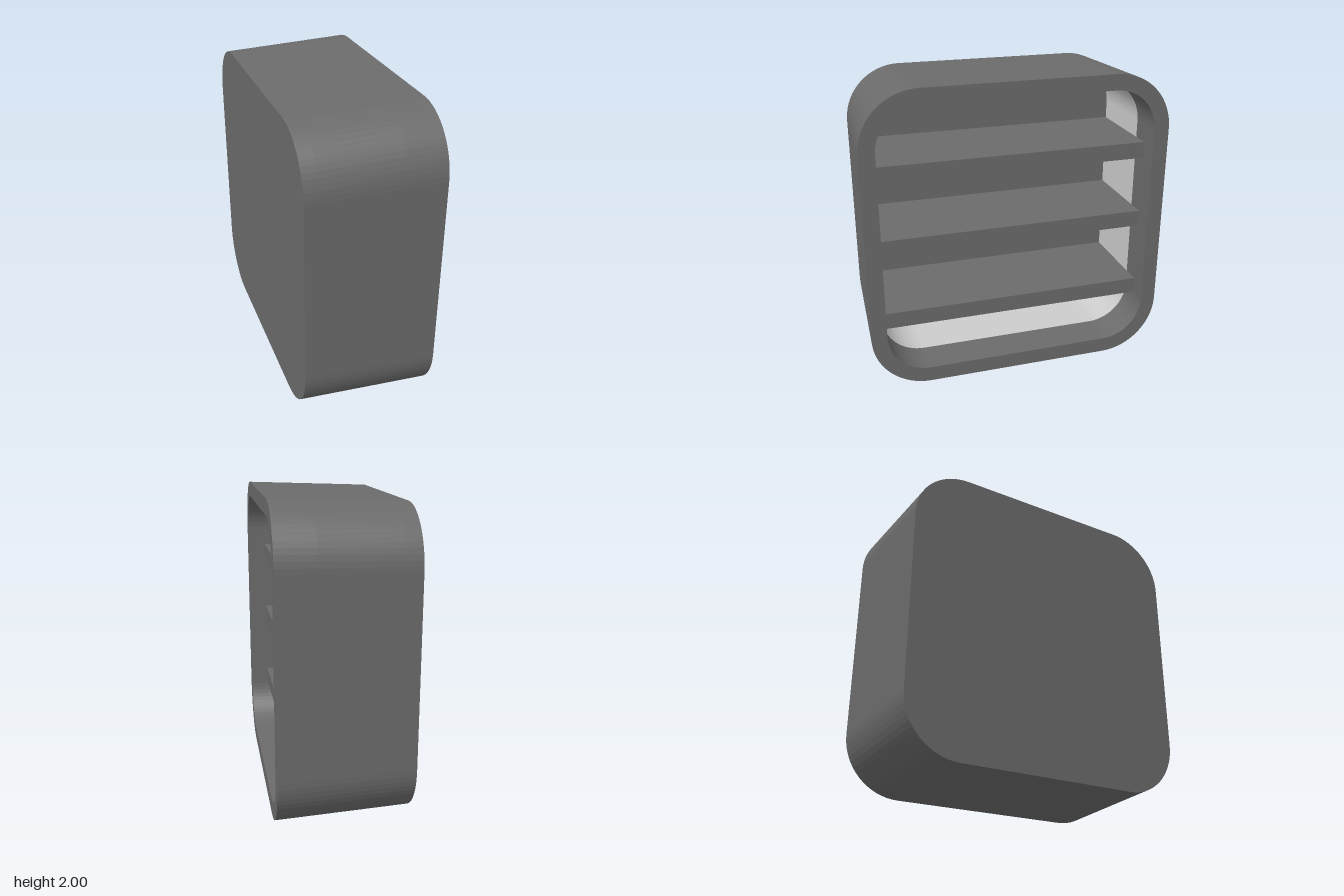
import * as THREE from 'three';

const FRONT = 0.425, BACK = -0.425; // open face and closed face along x
const CORE = 0.62;                  // centre of the corner arcs
const FLOOR = -0.33, LIP = 0.18;    // cavity floor and start of the front lip

// Rounded square whose corner arcs all share the same centres
function roundedSquare(Type, half) {
  const s = new Type(), r = half - CORE;
  for (let i = 0; i < 4; i++) {
    const a = i * Math.PI / 2;
    const cx = CORE * (i === 0 || i === 3 ? 1 : -1), cy = CORE * (i < 2 ? 1 : -1);
    s.absarc(cx, cy, r, a, a + Math.PI / 2, false);
  }
  return s;
}

// Prism along x from x0 to x1, optionally hollow; only the outer skin is drafted
function prism(half, hole, x0, x1) {
  const shape = roundedSquare(THREE.Shape, half);
  if (hole) shape.holes.push(roundedSquare(THREE.Path, hole));
  const g = new THREE.ExtrudeGeometry(shape, { depth: x1 - x0, bevelEnabled: false, curveSegments: 8 });
  g.rotateY(Math.PI / 2).translate(x0, 0, 0);
  const p = g.attributes.position;
  for (let i = 0; i < p.count; i++) {
    const x = p.getX(i), y = p.getY(i), z = p.getZ(i);
    const reach = Math.hypot(Math.max(Math.abs(y) - CORE, 0), Math.max(Math.abs(z) - CORE, 0));
    if (reach > 0.36) {
      const s = 1 - 0.03 * (FRONT - x) / (FRONT - BACK);
      p.setXYZ(i, x, y * s, z * s);
    }
  }
  g.computeVertexNormals();
  return g.translate(0, 1, 0);
}

export function createModel() {
  const group = new THREE.Group();
  const dark = new THREE.MeshStandardMaterial({ color: 0x6b6b6b, flatShading: true });
  const light = new THREE.MeshStandardMaterial({ color: 0xcccccc, flatShading: true });
  const add = (name, geometry, material) => {
    const m = new THREE.Mesh(geometry, material);
    m.name = name;
    group.add(m);
    return m;
  };

  // Drafted housing: front lip, side walls and closed back
  add('frontLip', prism(1, 0.897, LIP, FRONT), dark);
  add('housingWall', prism(1, 0.94, FLOOR, LIP), dark);
  add('backPanel', prism(1, null, BACK, FLOOR), dark);

  // Pale lining of the cavity behind the lip
  add('cavityLining', prism(0.94, 0.897, FLOOR, LIP), light);

  // Three horizontal slats, set back from the opening
  const slatFront = 0.3;
  for (const y of [0.427, 0.95, 1.445]) {
    add('slat', new THREE.BoxGeometry(slatFront - FLOOR, 0.11, 1.794), dark)
      .position.set((slatFront + FLOOR) / 2, y, 0);
  }
  return group;
}
